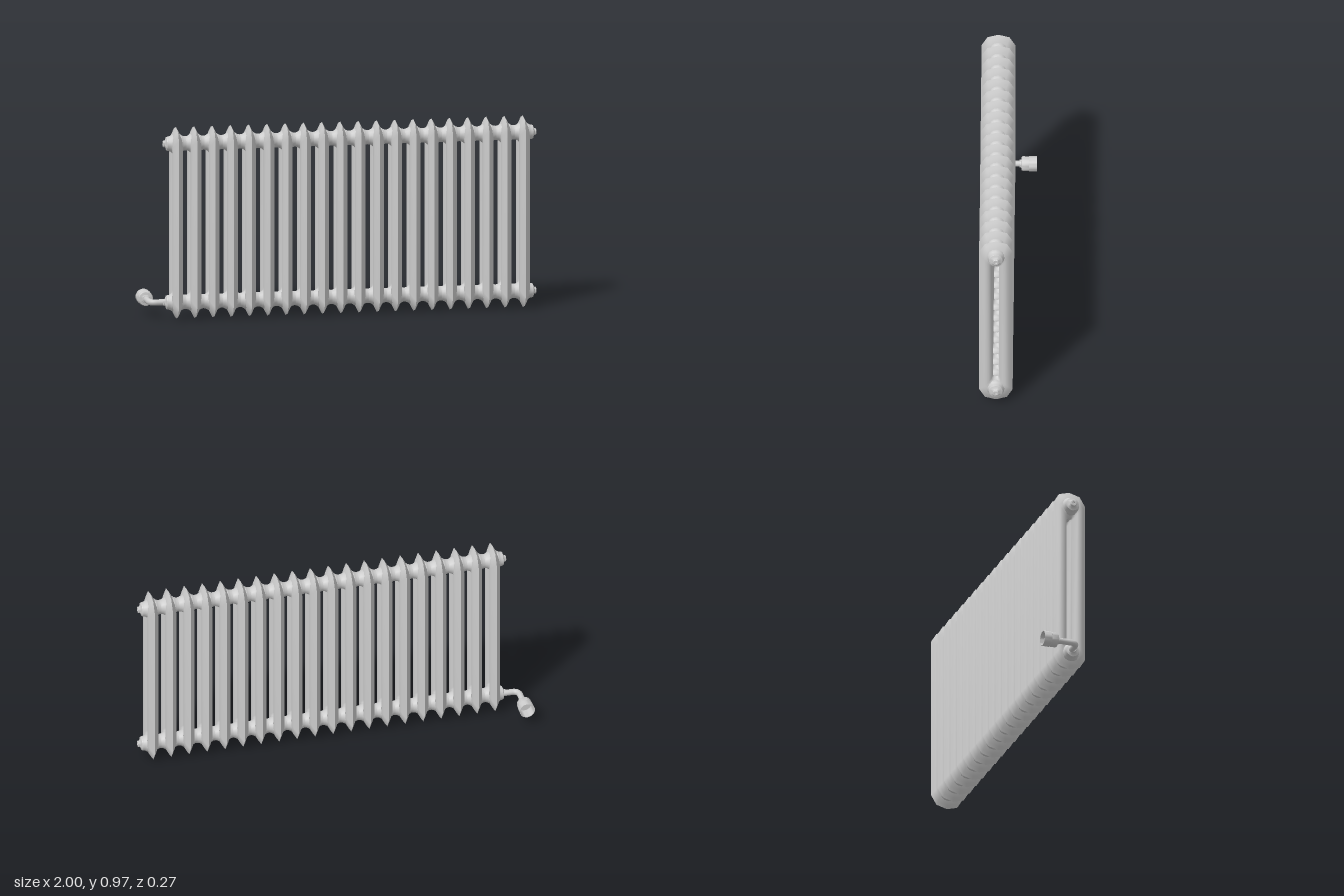
import * as THREE from 'three';
import { toCreasedNormals } from 'three/addons/utils/BufferGeometryUtils.js';

const COUNT = 20, FIRST_X = -0.83, PITCH = 0.0928;
const MID_Z = 0.053, LOW_Y = 0.085, HIGH_Y = 0.89, MID_Y = 0.4875;

const metal = new THREE.MeshStandardMaterial({ color: 0xcccccc });
const openMetal = new THREE.MeshStandardMaterial({ color: 0xcccccc, side: THREE.DoubleSide });

// Closed loop from one quadrant of [z, y] offsets, running top, front, bottom, back
function mirroredLoop(quadrant) {
  const front = [...quadrant, ...[...quadrant].reverse().map(([z, y]) => [z, -y])];
  const back = front.slice(1, -1).reverse().map(([z, y]) => [-z, y]);
  return [...front, ...back];
}

// One pressed half of a section: a bulging skin between the rim and the slot
function shellHalf(side) {
  const outer = mirroredLoop([[0, 0.4865], [0.055, 0.471], [0.084, 0.423]]);
  const inner = mirroredLoop([[0, 0.345], [0.008, 0.342], [0.015, 0.337]]);
  const bulge = [[0, 0], [0.12, 0.009], [0.25, 0.018], [0.4, 0.025], [0.55, 0.027],
    [0.72, 0.025], [0.88, 0.017], [1, 0]];
  const n = outer.length, position = [], index = [];
  for (const [t, x] of bulge) {
    for (let i = 0; i < n; i++) {
      const z = THREE.MathUtils.lerp(outer[i][0], inner[i][0], t);
      const y = THREE.MathUtils.lerp(outer[i][1], inner[i][1], t);
      position.push(side * x, MID_Y + y, z);
    }
  }
  for (let r = 0; r < bulge.length - 1; r++) {
    for (let i = 0; i < n; i++) {
      const a = r * n + i, b = r * n + (i + 1) % n, c = b + n, d = a + n;
      if (side > 0) index.push(a, b, c, a, c, d);
      else index.push(a, c, b, a, d, c);
    }
  }
  const g = new THREE.BufferGeometry();
  g.setAttribute('position', new THREE.Float32BufferAttribute(position, 3));
  g.setIndex(index);
  g.computeVertexNormals();
  return g;
}

// Turned part along x from [radius, distance] pairs
function turned(profile, segments) {
  return new THREE.LatheGeometry(profile.map(([r, d]) => new THREE.Vector2(r, d)), segments)
    .rotateZ(-Math.PI / 2);
}

function addMesh(parent, name, geometry, material = metal) {
  const mesh = new THREE.Mesh(geometry, material);
  mesh.name = name;
  parent.add(mesh);
  return mesh;
}

export function createModel() {
  const model = new THREE.Group();
  model.name = 'columnRadiator';

  // Radiator sections with flared hubs joining them
  const halves = [shellHalf(1), shellHalf(-1)];
  const flare = [[0.047, 0.02], [0.041, 0.028], [0.037, 0.037], [0.036, PITCH / 2]];
  const hub = turned([...[...flare].reverse().map(([r, d]) => [r, -d]), ...flare], 16);
  for (let i = 0; i < COUNT; i++) {
    const section = new THREE.Group();
    section.name = `section${i + 1}`;
    section.position.set(FIRST_X + i * PITCH, 0, MID_Z);
    addMesh(section, 'leftShell', halves[0]);
    addMesh(section, 'rightShell', halves[1]);
    addMesh(section, 'topHub', hub).position.y = HIGH_Y;
    addMesh(section, 'bottomHub', hub).position.y = LOW_Y;
    model.add(section);
  }

  // Domed end plugs with a small socket
  const plug = toCreasedNormals(turned([[0.036, 0.045], [0.034, 0.05], [0.022, 0.054],
    [0.017, 0.058], [0.017, 0.064], [0.014, 0.067], [0.007, 0.067], [0.006, 0.06], [0, 0.06]], 16), 0.6);
  for (const y of [LOW_Y, HIGH_Y]) {
    addMesh(model, 'leftPlug', plug).position.set(FIRST_X + (COUNT - 1) * PITCH, y, MID_Z);
    const right = addMesh(model, 'rightPlug', plug);
    right.position.set(FIRST_X, y, MID_Z);
    right.rotation.y = Math.PI;
  }

  // Supply pipe, bending to the back
  const pipeX = -0.961, pipeZ = 0.046, bend = 0.035;
  const path = new THREE.CurvePath();
  const p = (x, z) => new THREE.Vector3(x, LOW_Y, z);
  path.add(new THREE.LineCurve3(p(-0.88, pipeZ), p(pipeX + bend, pipeZ)));
  path.add(new THREE.QuadraticBezierCurve3(p(pipeX + bend, pipeZ), p(pipeX, pipeZ), p(pipeX, pipeZ - bend)));
  path.add(new THREE.LineCurve3(p(pipeX, pipeZ - bend), p(pipeX, -0.07)));
  addMesh(model, 'supplyPipe', new THREE.TubeGeometry(path, 40, 0.0155, 14));

  // Hollow valve cap on the end of the pipe
  const capProfile = [[0.015, 0.05], [0.02, 0.052], [0.021, 0.06], [0.034, 0.062], [0.037, 0.067],
    [0.037, 0.098], [0.039, 0.1], [0.039, 0.138], [0.036, 0.138], [0.034, 0.08], [0, 0.08]];
  const cap = new THREE.LatheGeometry(capProfile.map(([r, d]) => new THREE.Vector2(r, d)), 24)
    .rotateX(-Math.PI / 2);
  addMesh(model, 'valveCap', toCreasedNormals(cap, 0.6), openMetal).position.set(pipeX, LOW_Y, 0);

  return model;
}
